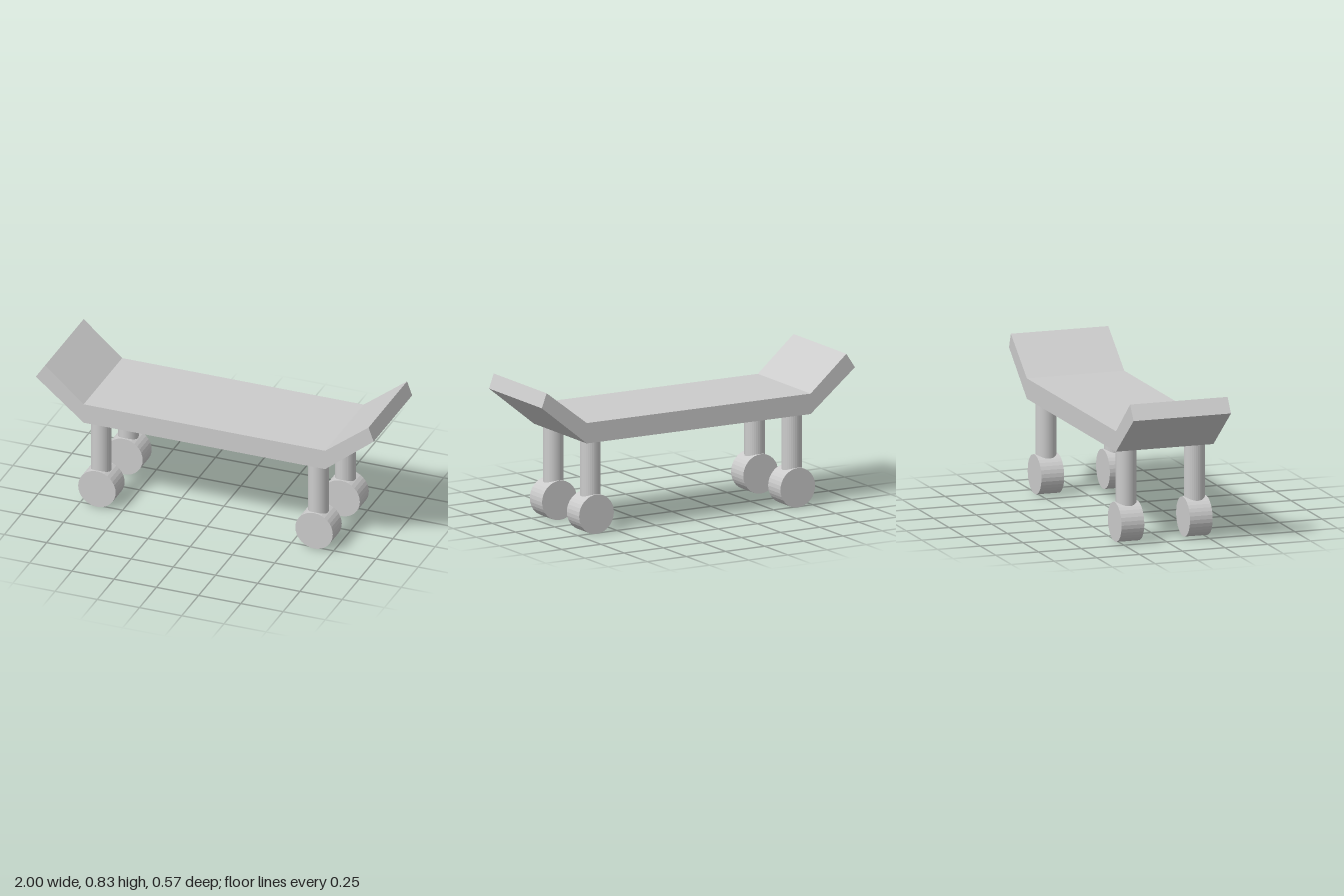
import * as THREE from 'three';

export function createModel() {
  const group = new THREE.Group();
  const material = new THREE.MeshStandardMaterial({ color: 0xcccccc, flatShading: true });

  const add = (name, geometry, x, y, z) => {
    const mesh = new THREE.Mesh(geometry, material);
    mesh.name = name;
    mesh.position.set(x, y, z);
    group.add(mesh);
  };

  // Deck: one side profile with two upturned ends, extruded across the width
  const depth = 0.57;
  const profile = new THREE.Shape([
    [-0.717, 0.522], [0.713, 0.522], [1, 0.753], [0.97, 0.835],
    [0.713, 0.637], [-0.717, 0.637], [-0.945, 0.835], [-1, 0.753],
  ].map(([x, y]) => new THREE.Vector2(x, y)));
  const deck = new THREE.ExtrudeGeometry(profile, { depth, bevelEnabled: false });
  add('deck', deck, 0, 0, -depth / 2);

  // Four legs, each standing in a wheel whose axle runs along z
  const wheelRadius = 0.111;
  const legHeight = 0.522 - wheelRadius;
  const leg = new THREE.CylinderGeometry(0.057, 0.057, legHeight, 32);
  const wheel = new THREE.CylinderGeometry(wheelRadius, wheelRadius, 0.133, 32).rotateX(Math.PI / 2);
  for (const [end, x] of [['right', -0.646], ['left', 0.64]]) {
    for (const [side, z] of [['Front', 0.2], ['Back', -0.2]]) {
      add(`${end}${side}Leg`, leg, x, wheelRadius + legHeight / 2, z);
      add(`${end}${side}Wheel`, wheel, x, wheelRadius, z);
    }
  }

  return group;
}
